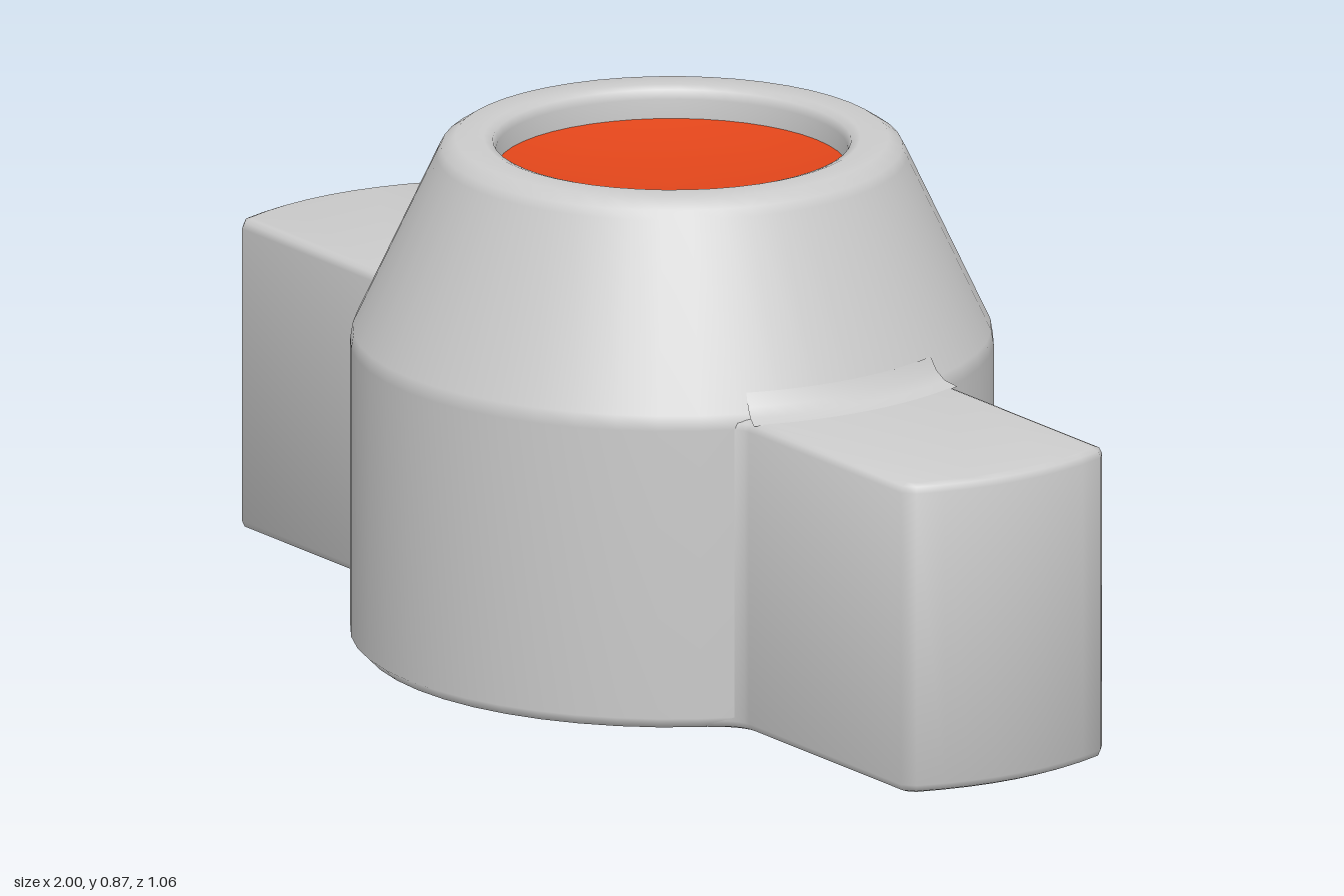
import * as THREE from 'three';
import { toCreasedNormals } from 'three/addons/utils/BufferGeometryUtils.js';

const SEGMENTS = 48;

function lathe(profile, ...arc) {
  return new THREE.LatheGeometry(profile.map(([r, y]) => new THREE.Vector2(r, y)), ...arc);
}

// Wing seen from above: flared root, straight sides, gently bowed end
function wingGeometry() {
  const bevel = 0.015;
  const plan = new THREE.Shape();
  plan.moveTo(0.4, -0.26);
  plan.lineTo(0.455, -0.25);
  plan.quadraticCurveTo(0.48, -0.202, 0.52, -0.202);
  plan.lineTo(0.945, -0.202);
  plan.lineTo(0.965, -0.185);
  plan.quadraticCurveTo(1.035, 0, 0.965, 0.185);
  plan.lineTo(0.945, 0.202);
  plan.lineTo(0.52, 0.202);
  plan.quadraticCurveTo(0.48, 0.202, 0.455, 0.25);
  plan.lineTo(0.4, 0.26);
  plan.closePath();
  const geometry = new THREE.ExtrudeGeometry(plan, {
    depth: 0.53 - 2 * bevel, curveSegments: 8,
    bevelThickness: bevel, bevelSize: bevel, bevelOffset: -bevel, bevelSegments: 2,
  });
  geometry.rotateX(-Math.PI / 2).translate(0, bevel, 0);
  return toCreasedNormals(geometry, 0.9);
}

export function createModel() {
  const model = new THREE.Group();
  model.name = 'wingKnob';
  const grey = new THREE.MeshStandardMaterial({ color: 0xcccccc });
  const orange = new THREE.MeshStandardMaterial({ color: 0xe0451a });

  const add = (name, geometry, material, parent = model) => {
    const mesh = new THREE.Mesh(geometry, material);
    mesh.name = name;
    parent.add(mesh);
    return mesh;
  };

  // Hub: chamfered foot, straight wall, tapered shoulder, rim and recess wall
  add('hub', lathe([
    [0, 0], [0.49, 0], [0.51, 0.002], [0.53, 0.022], [0.53, 0.515], [0.526, 0.54],
    [0.388, 0.835], [0.38, 0.85], [0.357, 0.865], [0.31, 0.865], [0.295, 0.86],
    [0.29, 0.845], [0.29, 0.805],
  ], SEGMENTS), grey);

  // Shallow coloured dish inside the recess
  add('recessedDish', lathe([
    [0.29, 0.812], [0.22, 0.795], [0.12, 0.782], [0, 0.778],
  ], SEGMENTS), orange);

  // Two wings, each with a small fillet where its top meets the shoulder
  const wing = wingGeometry();
  const fillet = lathe([[0.565, 0.529], [0.54, 0.536], [0.524, 0.55], [0.512, 0.572]],
    12, Math.PI / 2 - 0.37, 0.74);
  for (const [name, angle] of [['leftWing', 0], ['rightWing', Math.PI]]) {
    const group = new THREE.Group();
    group.name = name;
    group.rotation.y = angle;
    add(name + 'Blade', wing, grey, group);
    add(name + 'Fillet', fillet, grey, group);
    model.add(group);
  }
  return model;
}
